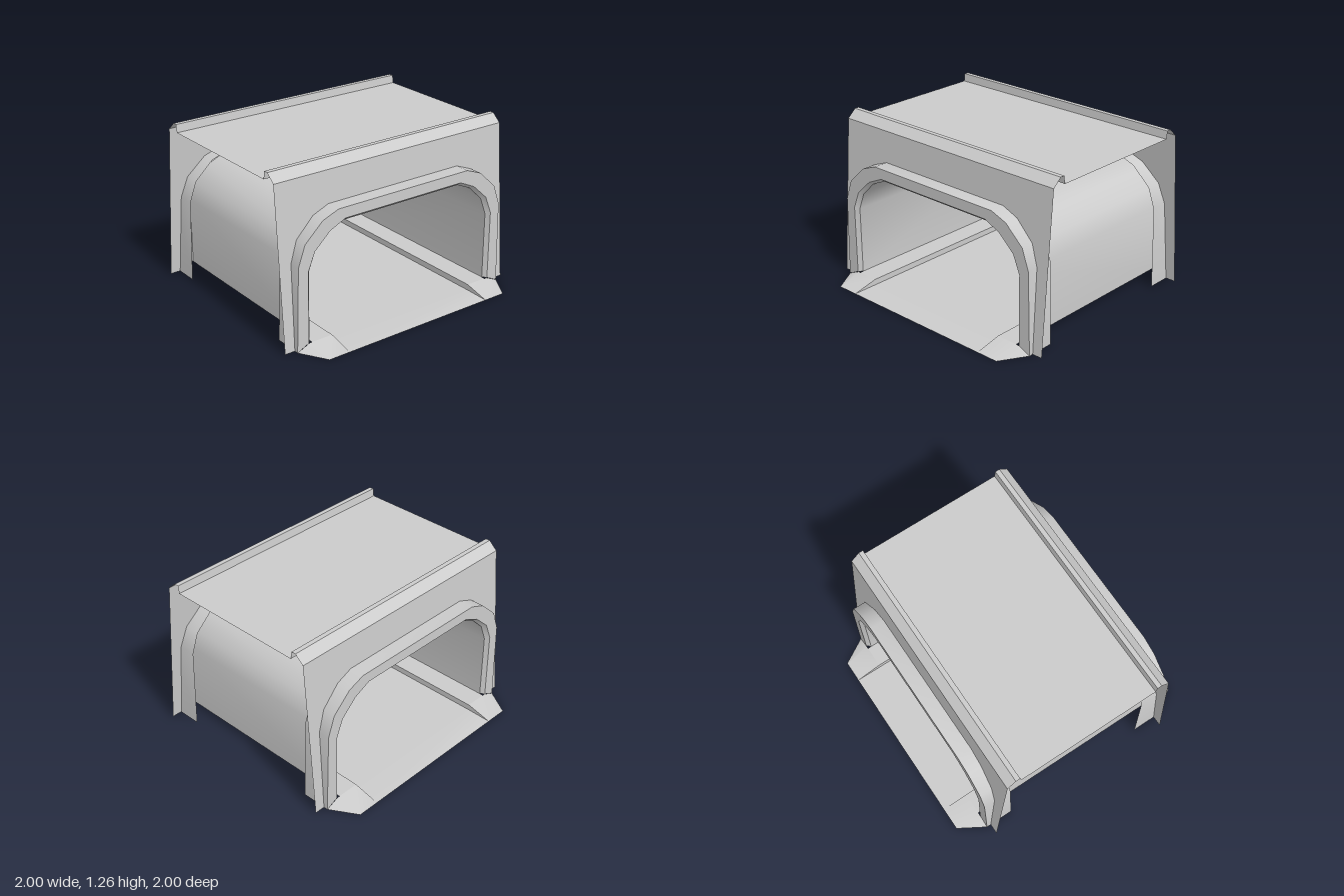
import * as THREE from 'three';
import { toCreasedNormals } from 'three/addons/utils/BufferGeometryUtils.js';

const material = new THREE.MeshStandardMaterial({ color: 0xcccccc, side: THREE.DoubleSide });

// Skin a sheet through a list of rings, each a list of [x, y, z] points
function loft(name, rings) {
  const n = rings[0].length;
  const index = [];
  for (let i = 0; i < rings.length - 1; i++) {
    for (let j = 0; j < n - 1; j++) {
      const a = i * n + j, b = a + 1, d = a + n, c = d + 1;
      index.push(a, d, b, b, d, c);
    }
  }
  const geo = new THREE.BufferGeometry();
  geo.setAttribute('position', new THREE.Float32BufferAttribute(rings.flat(2), 3));
  geo.setIndex(index);
  return makeMesh(name, toCreasedNormals(geo, 0.6));
}

function makeMesh(name, geometry) {
  const mesh = new THREE.Mesh(geometry, material);
  mesh.name = name;
  return mesh;
}

// Complete a right-hand half profile with its mirror image
const mirror = (half) => [...half, ...half.map(([x, y]) => [-x, y]).reverse()];
const at = (profile, z) => profile.map(([x, y]) => [x, y, z]);

// Arch outlines, from the foot up to the crown
const outer = mirror([[0.92, 0], [0.905, 0.63], [0.85, 0.785], [0.705, 0.92], [0.575, 0.97]]);
const inner = mirror([[0.825, 0.045], [0.825, 0.58], [0.77, 0.715], [0.645, 0.83], [0.515, 0.89]]);
const bore = mirror([[0.8, 0.045], [0.8, 0.565], [0.748, 0.7], [0.635, 0.81], [0.51, 0.865]]);

// Floor channel and apron sections
const channel = mirror([[0.8, 0.045], [0.63, 0.045], [0.63, 0]]);
const apronBack = mirror([[0.92, 0], [0.82, 0.045], [0.63, 0.045], [0.63, 0]]);
const apronTip = mirror([[0.8, 0], [0.795, 0], [0.63, 0], [0.625, 0]]);

const WALL_TOP = 1.205;

// Leaning end wall with the arch cut out of its lower edge
function headwall() {
  const shape = new THREE.Shape();
  const outline = [[1, 0], [1, WALL_TOP], [-1, WALL_TOP], [-1, 0], ...[...outer].reverse()];
  shape.setFromPoints(outline.map(([x, y]) => new THREE.Vector2(x, y)));
  const geo = new THREE.ShapeGeometry(shape);
  const p = geo.attributes.position;
  for (let i = 0; i < p.count; i++) p.setZ(i, 0.767 - 0.1 * p.getY(i) / WALL_TOP);
  geo.computeVertexNormals();
  return makeMesh('headwall', geo);
}

function portal(name) {
  const group = new THREE.Group();
  group.name = name;
  group.add(
    headwall(),
    // Projecting arch surround with a chamfered inner edge
    loft('archCollar', [at(bore, 0.77), at(inner, 0.8), at(outer, 0.8), at(outer, 0.58)]),
    // Tapered apron in front of the opening
    loft('apron', [at(apronTip, 1), at(apronBack, 0.8)])
  );
  return group;
}

export function createModel() {
  const model = new THREE.Group();
  model.name = 'culvert';

  // Tunnel walls and vault, and the floor with its side ledges
  model.add(loft('tunnel', [at(bore, 0.77), at(bore, -0.77)]));
  model.add(loft('floor', [at(channel, 0.8), at(channel, -0.8)]));

  // Deck with a raised kerb along each end
  const kerb = [[0.667, WALL_TOP], [0.6, 1.265], [0.565, 1.265], [0.557, WALL_TOP]];
  const deck = [...kerb, ...kerb.map(([z, y]) => [-z, y]).reverse()];
  model.add(loft('deckAndKerbs', [-1, 1].map((x) => deck.map(([z, y]) => [x, y, z]))));

  // Matching portals at both ends
  const back = portal('backPortal');
  back.rotation.y = Math.PI;
  model.add(portal('frontPortal'), back);
  return model;
}
